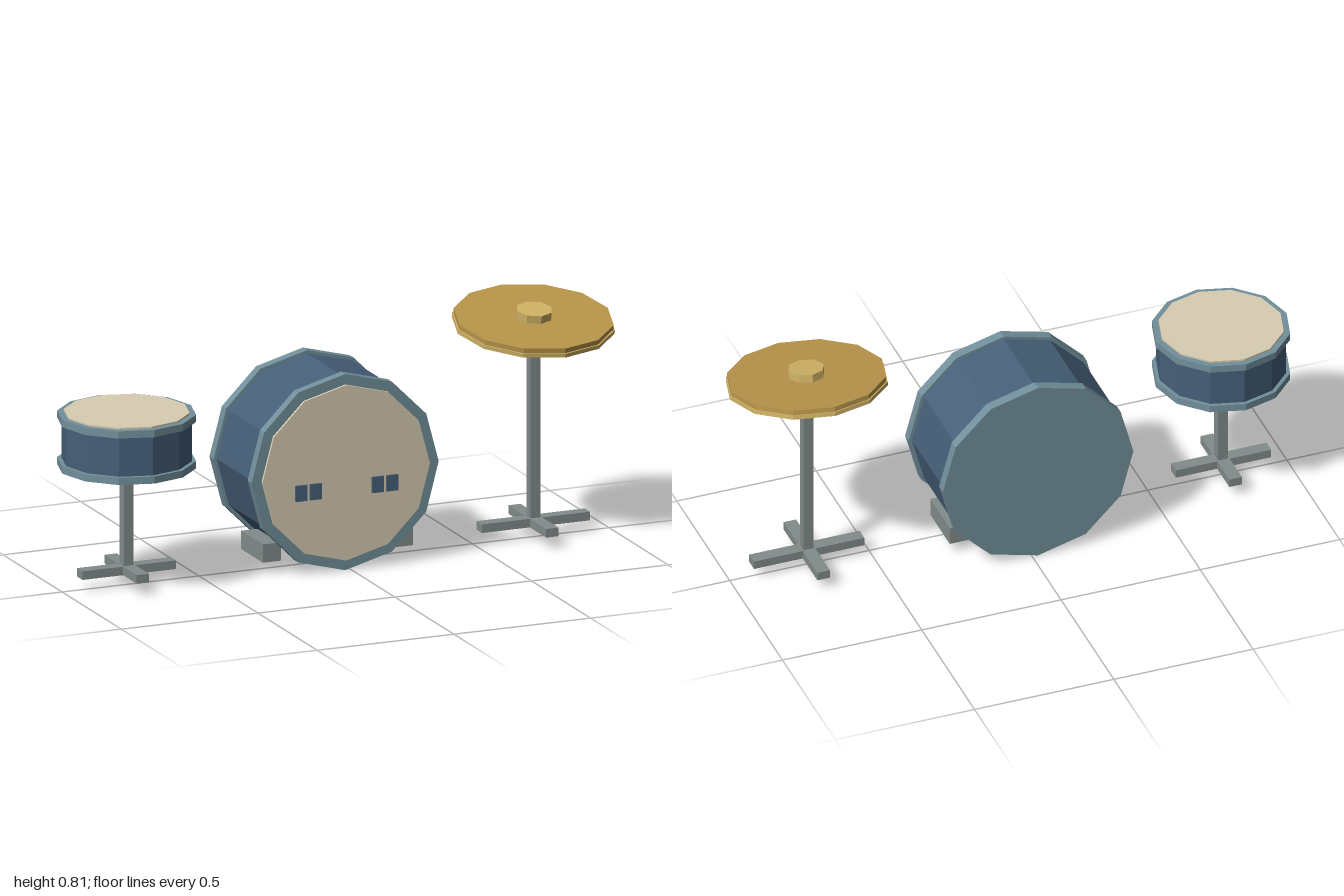
import * as THREE from 'three';

const mat = (color) => new THREE.MeshStandardMaterial({ color, flatShading: true });

export function createModel() {
  const model = new THREE.Group();
  model.name = 'drumKit';
  const blue = mat(0x465f78), rim = mat(0x718f9b), skin = mat(0xd8ccb2);
  const metal = mat(0x818c8a), brass = mat(0xb8954a), paleBrass = mat(0xd0b265);
  const Z = 0.002; // depth of the stands

  const add = (parent, name, geometry, material, x, y, z) => {
    const mesh = new THREE.Mesh(geometry, material);
    mesh.name = name;
    mesh.position.set(x, y, z);
    parent.add(mesh);
    return mesh;
  };
  const box = (parent, name, m, w, h, d, x, y, z) =>
    add(parent, name, new THREE.BoxGeometry(w, h, d), m, x, y, z);
  // Disc standing on its axis between two heights
  const disc = (parent, name, m, r, y0, y1, sides = 12) =>
    add(parent, name, new THREE.CylinderGeometry(r, r, y1 - y0, sides), m, 0, (y0 + y1) / 2, 0);
  const group = (name, x, y, z) => {
    const g = new THREE.Group();
    g.name = name;
    g.position.set(x, y, z);
    model.add(g);
    return g;
  };

  // Square post on a cross-shaped foot
  const stand = (parent, top, lengthX, lengthZ) => {
    box(parent, 'standPost', metal, 0.036, top - 0.042, 0.036, 0, (top + 0.042) / 2, 0);
    box(parent, 'standFootAcross', metal, lengthX, 0.03, 0.045, 0, 0.056, 0);
    box(parent, 'standFootAlong', metal, 0.045, 0.03, lengthZ, 0, 0.056, 0);
  };

  // Bass drum, lying with its axis along z
  const bass = group('bassDrum', -0.021, 0.342, 0);
  bass.rotation.x = Math.PI / 2;
  disc(bass, 'bassShell', blue, 0.331, -0.21, 0.11);
  disc(bass, 'bassFrontRim', rim, 0.342, 0.095, 0.13);
  disc(bass, 'bassBackRim', rim, 0.342, -0.228, -0.192);
  disc(bass, 'bassFrontHead', skin, 0.306, 0.12, 0.139);

  // Small square tiles on the front head, and the two support blocks
  for (const x of [-0.187, -0.134, 0.092, 0.145])
    box(model, 'headTile', blue, 0.042, 0.055, 0.016, x, 0.29, 0.139);
  for (const side of [-1, 1])
    box(model, 'bassSupport', metal, 0.065, 0.064, 0.185, -0.021 + side * 0.242, 0.073, -0.023);

  // Snare drum
  const snare = group('snareDrum', -0.765, 0, Z);
  stand(snare, 0.425, 0.342, 0.274);
  disc(snare, 'snareShell', blue, 0.221, 0.42, 0.59);
  disc(snare, 'snareLowerRim', rim, 0.235, 0.413, 0.438);
  disc(snare, 'snareUpperRim', rim, 0.235, 0.575, 0.6);
  disc(snare, 'snareHead', skin, 0.213, 0.59, 0.606);

  // Cymbal, tipped toward the front
  const cymbal = group('cymbalStand', 0.7225, 0, Z);
  stand(cymbal, 0.745, 0.396, 0.32);
  const plate = new THREE.Group();
  plate.name = 'cymbal';
  plate.position.set(0, 0.7385, -0.002);
  plate.rotation.x = THREE.MathUtils.degToRad(9.1);
  cymbal.add(plate);
  disc(plate, 'cymbalEdge', paleBrass, 0.276, 0, 0.014);
  disc(plate, 'cymbalPlate', brass, 0.271, 0.014, 0.031);
  disc(plate, 'cymbalBell', paleBrass, 0.063, 0.028, 0.059, 8);

  return model;
}
